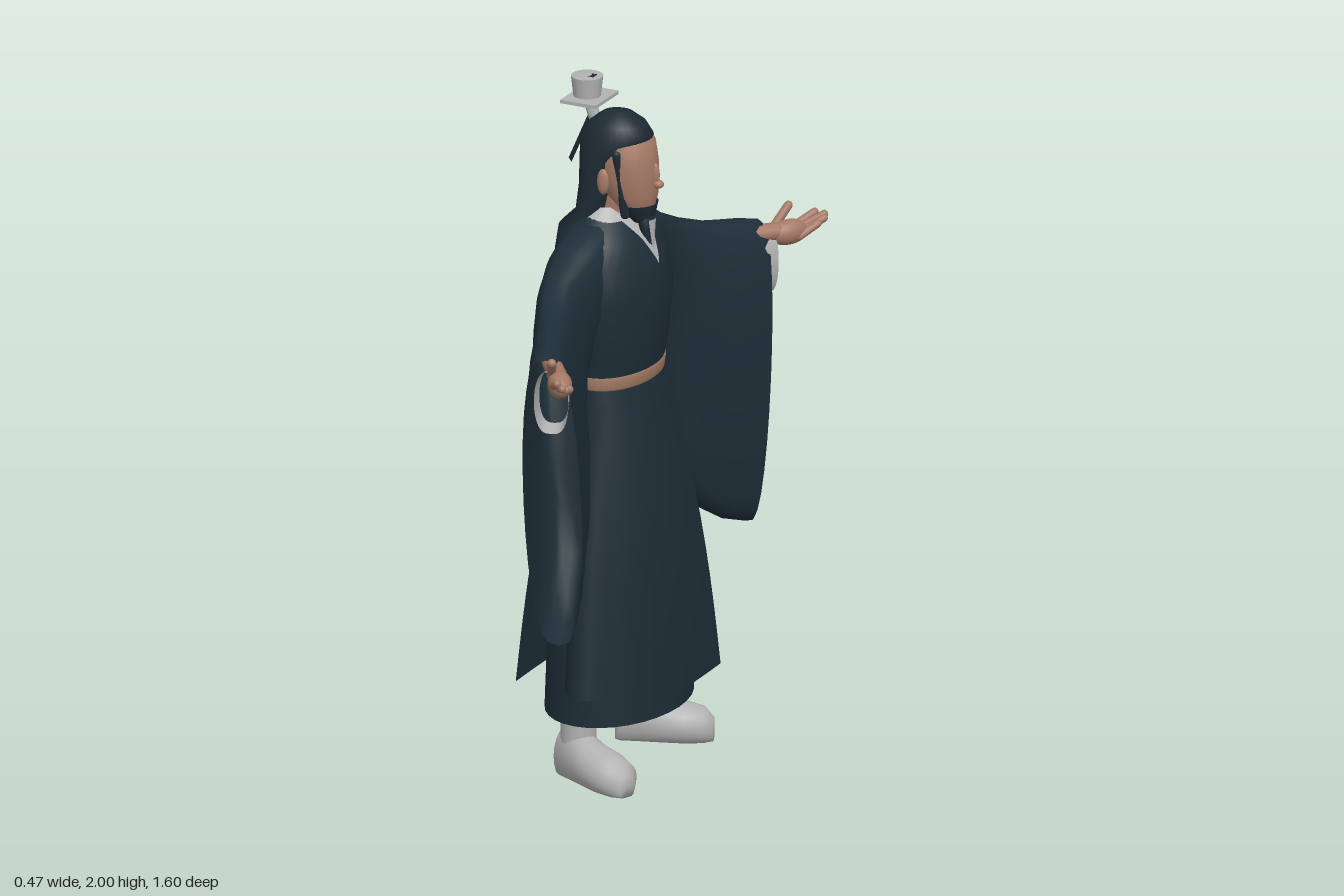
import * as THREE from 'three';

const mat = (name, color) => {
  const m = new THREE.MeshStandardMaterial({ color, side: THREE.DoubleSide });
  m.name = name;
  return m;
};
const TAU = Math.PI * 2;
const lerp = THREE.MathUtils.lerp;

// Surface through rows of points; closed rows wrap round, capped rows are filled
function loft(rows, closed = true, cap = false) {
  const n = rows[0].length, pos = rows.flat(2), idx = [];
  const quads = closed ? n : n - 1;
  for (let r = 0; r < rows.length - 1; r++) for (let i = 0; i < quads; i++) {
    const a = r * n + i, b = r * n + (i + 1) % n;
    idx.push(a, a + n, b, b, a + n, b + n);
  }
  if (cap) [0, rows.length - 1].forEach((r, k) => {
    const c = pos.length / 3;
    for (let j = 0; j < 3; j++) pos.push(rows[r].reduce((s, p) => s + p[j], 0) / n);
    for (let i = 0; i < n; i++) {
      const a = r * n + i, b = r * n + (i + 1) % n;
      k ? idx.push(a, c, b) : idx.push(a, b, c);
    }
  });
  const g = new THREE.BufferGeometry();
  g.setAttribute('position', new THREE.Float32BufferAttribute(pos, 3));
  g.setIndex(idx);
  g.computeVertexNormals();
  return g;
}

// Horizontal oval ring: height, centre x, half depth, half width
const oval = ([y, xc, rx, rz], n = 32) => Array.from({ length: n }, (_, i) => {
  const a = i / n * TAU;
  return [xc + rx * Math.cos(a), y, rz * Math.sin(a)];
});
const ovals = (rows, cap) => loft(rows.map(r => oval(r)), true, cap);

// Open sheet sampled from f(u, v)
const sheet = (f, nu = 10, nv = 10) => loft(Array.from({ length: nv + 1 }, (_, j) =>
  Array.from({ length: nu + 1 }, (_, i) => f(i / nu, j / nv))), false);

export function createModel() {
  const model = new THREE.Group();
  const robe = mat('dark blue cloth', 0x1d2d37);
  const hairMat = mat('dark hair', 0x1d2b34);
  const skin = mat('skin', 0xa57966);
  const beltMat = mat('tan belt', 0xa27a64);
  const grey = mat('light grey', 0xb2b2b2);

  const add = (parent, name, geo, m) => {
    const mesh = new THREE.Mesh(geo, m);
    mesh.name = name;
    parent.add(mesh);
    return mesh;
  };
  // Rounded limb between two points
  const limb = (parent, name, a, b, r, m) => {
    const p = new THREE.Vector3(...a), q = new THREE.Vector3(...b);
    const d = q.clone().sub(p);
    const mesh = add(parent, name, new THREE.CapsuleGeometry(r, d.length(), 5, 10), m);
    mesh.position.copy(p).add(q).multiplyScalar(0.5);
    mesh.quaternion.setFromUnitVectors(new THREE.Vector3(0, 1, 0), d.normalize());
    return mesh;
  };
  const ball = (parent, name, pos, size, m) => {
    const mesh = add(parent, name, new THREE.SphereGeometry(1, 18, 12), m);
    mesh.position.set(...pos);
    mesh.scale.set(...size);
  };

  // Torso, belt and skirt
  const torso = [[1.13, -0.015, 0.103, 0.168], [1.25, -0.015, 0.125, 0.188], [1.4, -0.015, 0.138, 0.2],
    [1.5, -0.04, 0.14, 0.2], [1.56, -0.05, 0.122, 0.17], [1.6, -0.052, 0.09, 0.115], [1.64, -0.05, 0.06, 0.07]];
  add(model, 'robeTorso', ovals(torso), robe);
  add(model, 'belt', ovals([[1.14, -0.015, 0.106, 0.17], [1.145, -0.015, 0.112, 0.176],
    [1.178, -0.015, 0.117, 0.179], [1.183, -0.015, 0.11, 0.172]]), beltMat);
  add(model, 'skirt', ovals([[1.14, -0.015, 0.105, 0.17], [1.0, -0.005, 0.125, 0.19], [0.8, 0, 0.152, 0.22],
    [0.6, -0.006, 0.172, 0.244], [0.4, -0.011, 0.18, 0.262], [0.185, -0.012, 0.186, 0.272]]), robe);

  // Hanging panels at the front and back
  for (const [name, top, bottom, s] of [['frontPanel', 0.095, 0.207, 1], ['backPanel', -0.125, -0.238, -1]])
    add(model, name, sheet((u, v) => {
      const k = u * 2 - 1, bulge = Math.sin(v * Math.PI) * 0.022;
      return [lerp(top, bottom, v) + s * (bulge - 0.022 * k * k * (1 - v * 0.8)),
        lerp(1.13, 0.255, v), k * lerp(0.12, 0.195, v)];
    }), robe);

  // Light V collar lying on the chest, with a band round the neck
  const chestX = (y, z) => {
    let i = 0;
    while (i < torso.length - 2 && torso[i + 1][0] < y) i++;
    const t = (y - torso[i][0]) / (torso[i + 1][0] - torso[i][0]);
    const [xc, rx, rz] = [1, 2, 3].map(k => lerp(torso[i][k], torso[i + 1][k], t));
    return xc + rx * Math.sqrt(Math.max(0, 1 - (z / rz) ** 2));
  };
  add(model, 'collar', sheet((u, v) => {
    const y = lerp(1.48, 1.635, v), z = (u * 2 - 1) * 0.068 * v;
    return [chestX(y, z) + 0.007, y, z];
  }), grey);
  add(model, 'collarBand', ovals([[1.608, -0.048, 0.083, 0.103], [1.645, -0.046, 0.062, 0.074]]), grey);

  // Head
  const head = new THREE.Group();
  head.name = 'head';
  model.add(head);
  add(head, 'neck', ovals([[1.57, -0.03, 0.055, 0.06], [1.7, -0.01, 0.055, 0.06]]), skin);
  add(head, 'face', ovals([[1.615, 0.05, 0.03, 0.03], [1.64, 0.04, 0.052, 0.054], [1.68, 0.025, 0.077, 0.072],
    [1.73, 0.012, 0.09, 0.082], [1.77, 0.01, 0.092, 0.085], [1.83, 0.0, 0.093, 0.083], [1.87, -0.01, 0.07, 0.06]], true), skin);
  ball(head, 'noseBridge', [0.1, 1.74, 0], [0.013, 0.035, 0.011], skin);
  ball(head, 'noseTip', [0.11, 1.714, 0], [0.015, 0.012, 0.016], skin);
  add(head, 'hair', ovals([[1.912, -0.015, 0.012, 0.012], [1.905, -0.015, 0.045, 0.04], [1.88, -0.015, 0.08, 0.07],
    [1.845, -0.016, 0.102, 0.09], [1.81, -0.03, 0.092, 0.094], [1.78, -0.05, 0.07, 0.096], [1.7, -0.06, 0.06, 0.096],
    [1.62, -0.075, 0.055, 0.096], [1.57, -0.115, 0.065, 0.11], [1.5, -0.125, 0.067, 0.11], [1.42, -0.12, 0.038, 0.08]], true), hairMat);
  add(head, 'beardJaw', ovals([[1.6, 0.062, 0.028, 0.028], [1.63, 0.05, 0.047, 0.05], [1.655, 0.04, 0.062, 0.062]]), hairMat);
  add(head, 'beard', ovals([[1.635, 0.068, 0.026, 0.034], [1.58, 0.075, 0.02, 0.026], [1.5, 0.085, 0.004, 0.004]], true), hairMat);
  add(head, 'beardFront', sheet((u, v) => {
    const k = u * 2 - 1;
    return [lerp(0.098, 0.094, v) - 0.007 * k * k * (1 - v), lerp(1.61, 1.515, v), k * lerp(0.022, 0.003, v)];
  }), grey);
  for (const s of [1, -1]) {
    limb(head, 'sideburn', [0.02, 1.81, s * 0.078], [0.035, 1.63, s * 0.056], 0.013, hairMat);
    ball(head, 'ear', [-0.015, 1.73, s * 0.092], [0.018, 0.038, 0.012], skin);
  }

  // Topknot crown with its pin and ribbon
  const crown = new THREE.Group();
  crown.name = 'crown';
  model.add(crown);
  limb(crown, 'crownStem', [-0.085, 1.87, 0], [-0.108, 1.935, 0], 0.017, grey);
  add(crown, 'crownBrim', new THREE.BoxGeometry(0.11, 0.01, 0.14), grey).position.set(-0.105, 1.935, 0);
  add(crown, 'crownCup', new THREE.CylinderGeometry(0.045, 0.038, 0.06, 24), grey).position.set(-0.112, 1.968, 0);
  add(crown, 'crownKnob', new THREE.SphereGeometry(0.04, 20, 8, 0, TAU, 0, Math.PI / 2).scale(1, 0.08, 1), grey)
    .position.set(-0.112, 1.997, 0);
  add(crown, 'crownMark', new THREE.BoxGeometry(0.026, 0.004, 0.026), hairMat).position.set(-0.1, 1.998, 0);
  add(crown, 'ribbon', sheet((u, v) => [lerp(-0.095, -0.165, v) + (u - 0.5) * 0.024,
    lerp(1.9, 1.74, v), (u - 0.5) * 0.03], 2, 4), hairMat);

  // Sleeve ring rows: top z, top y, bottom z, bottom y, centre x, half width, slant
  const sleeveRing = ([zt, yt, zb, yb, x, w, tilt]) => Array.from({ length: 28 }, (_, i) => {
    const a = i / 28 * TAU, v = (1 - Math.cos(a)) / 2, s = Math.sin(a);
    const side = w * Math.sign(s) * Math.abs(s) ** 0.65;
    return [x + side * Math.cos(tilt), lerp(yt, yb, v), lerp(zt, zb, v) - side * Math.sin(tilt)];
  });
  const sleeve = [[0.06, 1.615, 0.1, 1.35, -0.05, 0.08, 0], [0.14, 1.597, 0.14, 1.31, -0.053, 0.088, 0.02],
    [0.215, 1.56, 0.19, 1.28, -0.055, 0.085, 0.05], [0.3, 1.51, 0.25, 1.13, -0.05, 0.075, 0.15],
    [0.38, 1.47, 0.285, 0.95, -0.025, 0.072, 0.25], [0.42, 1.455, 0.293, 0.83, -0.008, 0.072, 0.28],
    [0.46, 1.44, 0.325, 0.71, 0.008, 0.073, 0.31], [0.51, 1.43, 0.4, 0.618, 0.03, 0.076, 0.35],
    [0.57, 1.42, 0.48, 0.565, 0.06, 0.078, 0.37], [0.64, 1.4, 0.565, 0.535, 0.09, 0.08, 0.37]];
  const cuff = [[0.59, 1.36, 0.59, 1.2, 0.09, 0.042, 0.37], [0.655, 1.375, 0.65, 1.19, 0.112, 0.048, 0.37]];

  // Boot rows: local x, height, half width
  const boot = [[-0.075, 0.09, 0.025], [-0.062, 0.14, 0.048], [0, 0.145, 0.055], [0.06, 0.118, 0.064],
    [0.12, 0.108, 0.07], [0.17, 0.095, 0.058], [0.198, 0.065, 0.028]].map(([x, h, w]) =>
    Array.from({ length: 20 }, (_, i) => {
      const a = i / 20 * TAU, s = Math.sin(a);
      return [x, Math.max(0, h * (0.42 + 0.58 * s)), w * Math.cos(a)];
    }));

  for (const s of [1, -1]) {
    const half = new THREE.Group();
    half.name = s > 0 ? 'leftLimbs' : 'rightLimbs';
    half.scale.z = s;
    model.add(half);

    add(half, 'sleeve', loft(sleeve.map(sleeveRing)), robe);
    add(half, 'innerCuff', loft(cuff.map(sleeveRing)), grey);

    // Open hand, palm up, fingers together
    const hand = new THREE.Group();
    hand.name = 'hand';
    hand.position.set(0.1, 1.365, 0.6);
    hand.rotation.y = 0.58;
    half.add(hand);
    limb(hand, 'forearm', [-0.01, 0.005, -0.05], [0, 0, 0.07], 0.026, skin);
    ball(hand, 'palm', [0, -0.008, 0.105], [0.034, 0.036, 0.062], skin);
    for (let i = 0; i < 4; i++) {
      const k = i - 1.5, len = [0.2, 0.224, 0.216, 0.19][i];
      limb(hand, 'finger', [k * 0.014, -0.012 - k * 0.005, 0.13], [k * 0.012, 0.018 - k * 0.007, len], 0.0115, skin);
    }
    limb(hand, 'thumb', [-0.02, 0.005, 0.07], [-0.024, 0.06, 0.12], 0.013, skin);

    // Side flap of the skirt, its edges curving back to the cloth
    add(half, 'sidePanel', sheet((u, v) => {
      const k = u * 2 - 1;
      return [lerp(-0.005, 0.018, v) + k * lerp(0.05, 0.072, v), lerp(1.1, 0.28, v),
        lerp(0.172, 0.312, v) + Math.sin(v * Math.PI) * 0.01 - lerp(0.014, 0.06, v) * k * k];
    }), robe);

    // Leg and boot, toes turned out
    add(half, 'leg', new THREE.CylinderGeometry(0.052, 0.05, 0.3, 20), grey).position.set(-0.05, 0.25, 0.172);
    const foot = add(half, 'boot', loft(boot, true, true), grey);
    foot.position.set(-0.035, 0, 0.185);
    foot.rotation.y = -0.4;
  }
  return model;
}
